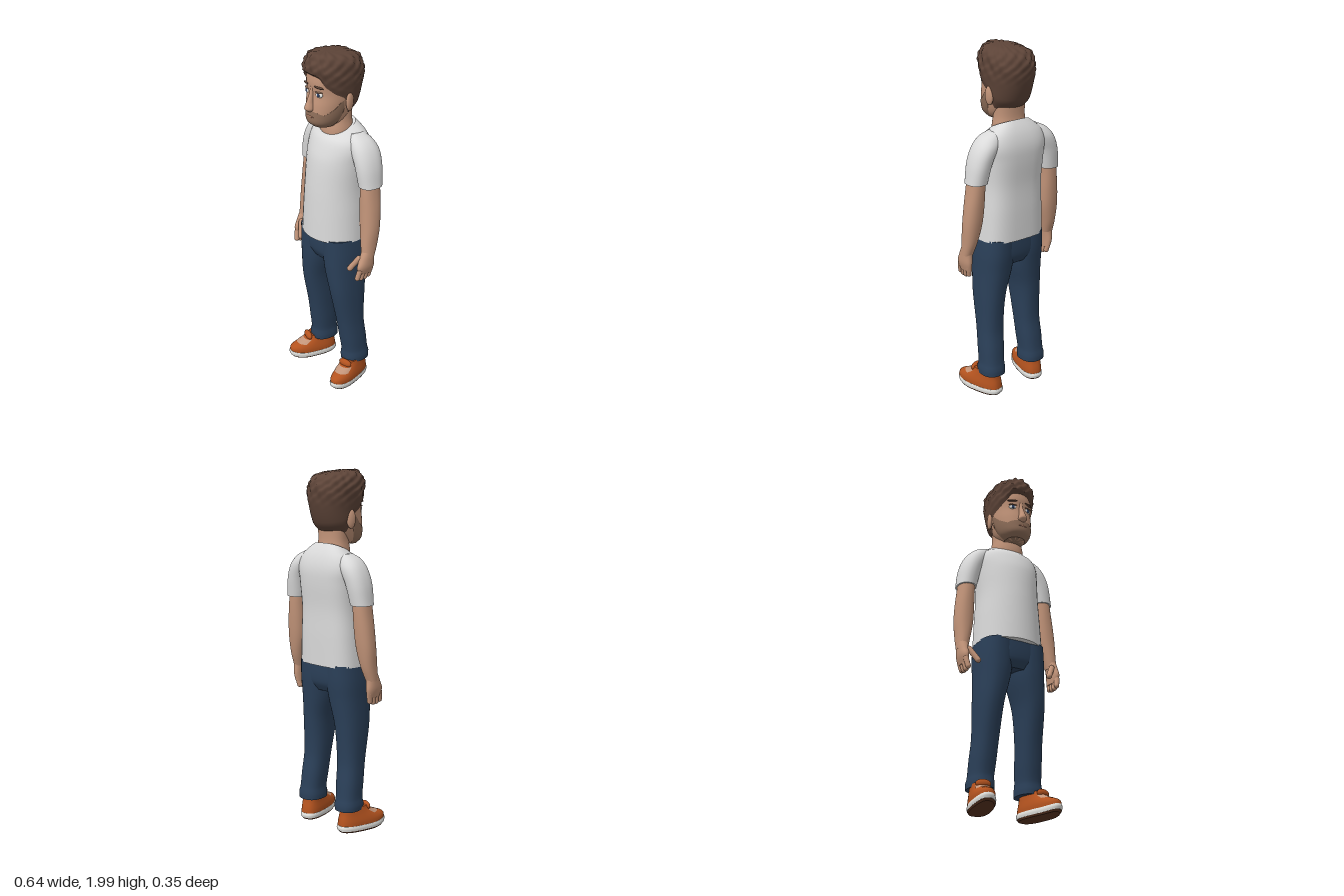
import * as THREE from 'three';

const mat = (name, color) => {
  const m = new THREE.MeshStandardMaterial({ color, side: THREE.DoubleSide });
  m.name = name;
  return m;
};

// Value of column c at height y, eased smoothly between the key rings
function column(keys, c, y) {
  let i = 0;
  while (i < keys.length - 2 && y > keys[i + 1][0]) i++;
  const val = k => keys[k][c] || 0;
  const slope = k => {
    const a = Math.max(0, k - 1), b = Math.min(keys.length - 1, k + 1);
    return (val(b) - val(a)) / (keys[b][0] - keys[a][0]);
  };
  const h = keys[i + 1][0] - keys[i][0];
  const t = THREE.MathUtils.clamp((y - keys[i][0]) / h, 0, 1), t2 = t * t, t3 = t2 * t;
  return val(i) * (2 * t3 - 3 * t2 + 1) + slope(i) * h * (t3 - 2 * t2 + t)
    + val(i + 1) * (3 * t2 - 2 * t3) + slope(i + 1) * h * (t3 - t2);
}

// Straight-line lookup in a list of [x, value]
function lookup(pts, x) {
  for (let i = 1; i < pts.length; i++) {
    const [a, p] = pts[i - 1], [b, q] = pts[i];
    if (x <= b) return p + (q - p) * Math.max(0, (x - a) / (b - a));
  }
  return pts[pts.length - 1][1];
}

// Point on a body section. Key ring: [y, centreX, halfWidth, zFront, zBack, tilt]
function section(keys, angle, y, { front = 0.9, back = 0.9, side = 1, grow = 0 } = {}) {
  const [cx, rx, zf, zb, tilt] = [1, 2, 3, 4, 5].map(c => column(keys, c, y));
  const zw = zf * 0.45 + zb * 0.55, c = Math.cos(angle), s = Math.sin(angle);
  const e = s > 0 ? front : back;
  const bend = n => Math.sign(n) * Math.abs(n) ** e;
  const dz = ((s > 0 ? zf - zw : zw - zb) + grow) * bend(s);
  return new THREE.Vector3(cx * side + (rx + grow) * bend(c), y - tilt * dz, zw + dz);
}

// Surface through at(u, v), v running upwards, with optional end caps
function surface(at, nu, nv, { wrap = true, caps = true } = {}) {
  const pos = [], idx = [], cols = wrap ? nu : nu + 1;
  for (let j = 0; j <= nv; j++)
    for (let i = 0; i < cols; i++) pos.push(...at(i / nu, j / nv).toArray());
  for (let j = 0; j < nv; j++)
    for (let i = 0; i < nu; i++) {
      const a = j * cols + i, b = j * cols + (i + 1) % cols;
      idx.push(a, a + cols, b, b, a + cols, b + cols);
    }
  if (wrap && caps) for (const v of [0, 1]) {
    const base = pos.length / 3, mid = new THREE.Vector3();
    for (let i = 0; i < nu; i++) {
      const p = at(i / nu, v);
      pos.push(...p.toArray());
      mid.addScaledVector(p, 1 / nu);
    }
    pos.push(...mid.toArray());
    for (let i = 0; i < nu; i++) {
      const a = base + i, b = base + (i + 1) % nu;
      idx.push(base + nu, v ? b : a, v ? a : b);
    }
  }
  const g = new THREE.BufferGeometry();
  g.setAttribute('position', new THREE.Float32BufferAttribute(pos, 3));
  g.setIndex(idx);
  g.computeVertexNormals();
  return g;
}

function loft(keys, opts = {}) {
  const y0 = keys[0][0], y1 = keys[keys.length - 1][0];
  return surface((u, v) => section(keys, u * Math.PI * 2, y0 + (y1 - y0) * v, opts), 36, keys.length * 5);
}

export function createModel() {
  const model = new THREE.Group();
  model.name = 'standingMan';
  const skin = mat('skin', 0xc29479), beardMat = mat('beard', 0x91705b), hairMat = mat('hair', 0x5d4438),
    shirt = mat('shirt', 0xdadada), denim = mat('denim', 0x2b4059), orange = mat('shoeOrange', 0xb4531f),
    white = mat('white', 0xe4e4e0), outsole = mat('outsole', 0x5a3522), blue = mat('irisBlue', 0x34486e),
    lip = mat('lip', 0xa6755f);

  const add = (name, geo, m, parent = model) => {
    const mesh = new THREE.Mesh(geo, m);
    mesh.name = name;
    parent.add(mesh);
    return mesh;
  };
  const ball = (name, m, p, r) => {
    const b = add(name, new THREE.SphereGeometry(1, 20, 14), m);
    b.position.set(...p);
    b.scale.set(...r);
    return b;
  };
  const finger = (name, a, b, r) => {
    const p = new THREE.Vector3(...a), q = new THREE.Vector3(...b), d = q.clone().sub(p);
    const f = add(name, new THREE.CapsuleGeometry(r, d.length(), 5, 12), skin);
    f.position.copy(p).add(q).multiplyScalar(0.5);
    f.quaternion.setFromUnitVectors(new THREE.Vector3(0, 1, 0), d.normalize());
  };

  // Torso, neck and hips
  add('shirtBody', loft([[0.94, 0, 0.195, 0.155, -0.163], [1.1, 0, 0.186, 0.148, -0.165],
    [1.25, 0, 0.178, 0.138, -0.165], [1.4, 0, 0.185, 0.118, -0.175], [1.48, 0, 0.19, 0.09, -0.172],
    [1.535, 0, 0.165, 0.07, -0.15, 0.15], [1.575, 0, 0.1, 0.053, -0.113, 0.42]], { front: 1, back: 0.7 }), shirt);
  add('neck', loft([[1.5, 0, 0.092, 0.052, -0.11], [1.56, 0, 0.095, 0.05, -0.108],
    [1.62, 0, 0.088, 0.04, -0.1], [1.7, 0, 0.09, 0.03, -0.1]]), skin);
  add('hips', loft([[0.79, 0, 0.16, 0.09, -0.115], [0.84, 0, 0.192, 0.113, -0.142],
    [0.96, 0, 0.19, 0.12, -0.15]], { front: 0.8, back: 0.8 }), denim);

  // Head
  const headKeys = [[1.595, 0, 0.055, 0.115, 0], [1.62, 0, 0.082, 0.143, -0.05], [1.66, 0, 0.1, 0.147, -0.085],
    [1.72, 0, 0.112, 0.143, -0.115], [1.78, 0, 0.118, 0.134, -0.14], [1.85, 0, 0.12, 0.138, -0.15],
    [1.92, 0, 0.11, 0.12, -0.14], [1.96, 0, 0.07, 0.07, -0.09]];
  add('head', loft(headKeys), skin);

  // Short beard hugging the jaw
  const beardTop = [[-0.1, 1.597], [0, 1.7], [0.12, 1.76], [0.35, 1.71], [0.7, 1.675], [0.9, 1.685], [1, 1.692]];
  add('beard', surface((u, v) => {
    const a = u * Math.PI * 2;
    return section(headKeys, a, 1.595 + (lookup(beardTop, Math.sin(a)) - 1.595) * v, { grow: 0.003 });
  }, 64, 12), beardMat);

  // Tousled hair with a shaped hairline
  const hairKeys = [[1.64, 0, 0.1, 0.15, -0.095], [1.7, 0, 0.118, 0.15, -0.13], [1.78, 0, 0.126, 0.142, -0.157],
    [1.87, 0, 0.134, 0.15, -0.172], [1.92, 0, 0.13, 0.157, -0.163], [1.96, 0, 0.112, 0.142, -0.13],
    [1.985, 0, 0.07, 0.115, -0.07, -0.06], [1.991, 0, 0.01, 0.05, 0.03, -0.06]];
  const hairline = [[-1, 1.65], [-0.4, 1.665], [-0.1, 1.71], [0.1, 1.76], [0.5, 1.79], [0.78, 1.83], [0.9, 1.872], [1, 1.88]];
  add('hair', surface((u, v) => {
    const a = u * Math.PI * 2, low = lookup(hairline, Math.sin(a));
    const y = low + (1.991 - low) * (1 - (1 - v) ** 1.4);
    const rough = Math.sin(a * 9 + y * 40) * Math.sin(y * 95 + a * 4) + 0.6 * Math.sin(a * 17 - y * 60);
    const fade = THREE.MathUtils.smoothstep(y, 1.78, 1.9) * Math.min(1, (1 - v) * 4);
    const p = section(hairKeys, a, y, { grow: rough * 0.005 * fade });
    p.y += rough * 0.004 * fade;
    return section(headKeys, a, Math.min(y, 1.93)).lerp(p, Math.min(1, v * 10));
  }, 80, 36, { caps: true }), hairMat);

  // Face
  add('nose', loft([[1.684, 0, 0.012, 0.155, 0.12], [1.698, 0, 0.024, 0.174, 0.12], [1.712, 0, 0.023, 0.175, 0.12],
    [1.74, 0, 0.016, 0.164, 0.12], [1.785, 0, 0.012, 0.146, 0.11], [1.82, 0, 0.012, 0.138, 0.11]]), skin);
  ball('mouth', lip, [0, 1.658, 0.146], [0.03, 0.006, 0.006]);

  for (const s of [1, -1]) {
    const side = s > 0 ? 'left' : 'right';
    ball(side + 'Ear', skin, [s * 0.122, 1.735, -0.02], [0.014, 0.052, 0.027]).rotation.y = s * 0.25;
    ball(side + 'Eye', white, [s * 0.048, 1.783, 0.121], [0.022, 0.014, 0.01]).rotation.y = s * 0.25;
    ball(side + 'Iris', blue, [s * 0.048, 1.783, 0.128], [0.01, 0.011, 0.005]);
    ball(side + 'UpperLid', beardMat, [s * 0.049, 1.797, 0.124], [0.024, 0.004, 0.01]).rotation.y = s * 0.25;
    const brow = ball(side + 'Eyebrow', hairMat, [s * 0.052, 1.824, 0.126], [0.03, 0.006, 0.009]);
    brow.rotation.set(0, s * 0.3, -s * 0.1);

    // Sleeve and arm
    add(side + 'Sleeve', loft([[1.29, 0.247, 0.056, 0.003, -0.127], [1.4, 0.225, 0.06, 0.012, -0.142],
      [1.48, 0.19, 0.064, 0.01, -0.145], [1.53, 0.155, 0.056, -0.005, -0.125], [1.555, 0.13, 0.03, -0.03, -0.1]],
      { side: s }), shirt);
    add(side + 'Arm', loft([[0.88, 0.284, 0.03, 0.012, -0.058], [0.95, 0.276, 0.039, 0.01, -0.082],
      [1.05, 0.266, 0.052, 0.004, -0.1], [1.15, 0.258, 0.053, 0, -0.11], [1.25, 0.25, 0.048, -0.003, -0.115],
      [1.36, 0.24, 0.045, -0.01, -0.115]], { side: s }), skin);

    // Hand
    add(side + 'Palm', loft([[0.785, 0.281, 0.018, 0.035, -0.055], [0.83, 0.286, 0.025, 0.048, -0.062],
      [0.875, 0.285, 0.028, 0.03, -0.06], [0.92, 0.282, 0.03, 0.01, -0.06]], { side: s }), skin);
    for (let i = 0; i < 4; i++) {
      const z = -0.042 + i * 0.025, tip = 0.762 - 0.008 * Math.sin(i * 1.05);
      finger(side + 'Finger', [s * 0.287, 0.81, z], [s * 0.278, tip, z + 0.01], 0.0145);
    }
    finger(side + 'Thumb', [s * 0.262, 0.875, 0.02], [s * 0.224, 0.805, 0.052], 0.016);

    // Trouser leg with a turned hem
    add(side + 'Leg', loft([[0.125, 0.145, 0.07, 0.028, -0.134], [0.165, 0.145, 0.071, 0.028, -0.134],
      [0.185, 0.144, 0.066, 0.023, -0.128], [0.28, 0.139, 0.068, 0.036, -0.118], [0.4, 0.133, 0.068, 0.055, -0.105],
      [0.6, 0.125, 0.076, 0.095, -0.115], [0.75, 0.106, 0.093, 0.112, -0.132], [0.85, 0.1, 0.099, 0.117, -0.145],
      [0.95, 0.098, 0.095, 0.12, -0.15]], { side: s, front: 0.85, back: 0.85 }), denim);

    // Shoe, turned outward with a lifted toe
    const shoe = new THREE.Group();
    shoe.name = side + 'Shoe';
    shoe.position.set(s * 0.172, 0, 0.016);
    shoe.rotation.y = s * 0.25;
    model.add(shoe);
    const shoePoint = (keys, a, y, grow = 0) => {
      const p = section(keys, a, y, { front: 0.85, back: 0.75, grow });
      p.y += 1.6 * Math.max(0, p.z - 0.05) ** 2;
      return p;
    };
    const shoePart = (name, keys, m) => add(name, surface((u, v) =>
      shoePoint(keys, u * Math.PI * 2, keys[0][0] + (keys[keys.length - 1][0] - keys[0][0]) * v), 36, 12), m, shoe);
    const upper = [[0.036, 0, 0.06, 0.146, -0.145], [0.06, 0, 0.06, 0.141, -0.142], [0.08, 0, 0.057, 0.118, -0.138],
      [0.1, 0, 0.053, 0.078, -0.133], [0.12, 0, 0.05, 0.045, -0.13], [0.14, 0, 0.047, 0.03, -0.125]];
    shoePart('outsole', [[0, 0, 0.055, 0.135, -0.138], [0.01, 0, 0.06, 0.145, -0.145]], outsole);
    shoePart('midsole', [[0.01, 0, 0.061, 0.146, -0.147], [0.025, 0, 0.063, 0.15, -0.15],
      [0.038, 0, 0.061, 0.147, -0.146]], white);
    shoePart('upper', upper, orange);
    add('lacePanel', surface((u, v) => shoePoint(upper, 0.7 + u * (Math.PI - 1.4), 0.091 + 0.024 * v, 0.003),
      16, 6, { wrap: false }), skin, shoe);
    const tongue = add('tongue', new THREE.SphereGeometry(1, 20, 12), orange, shoe);
    tongue.position.set(0, 0.13, 0.028);
    tongue.scale.set(0.042, 0.024, 0.018);
  }
  return model;
}
